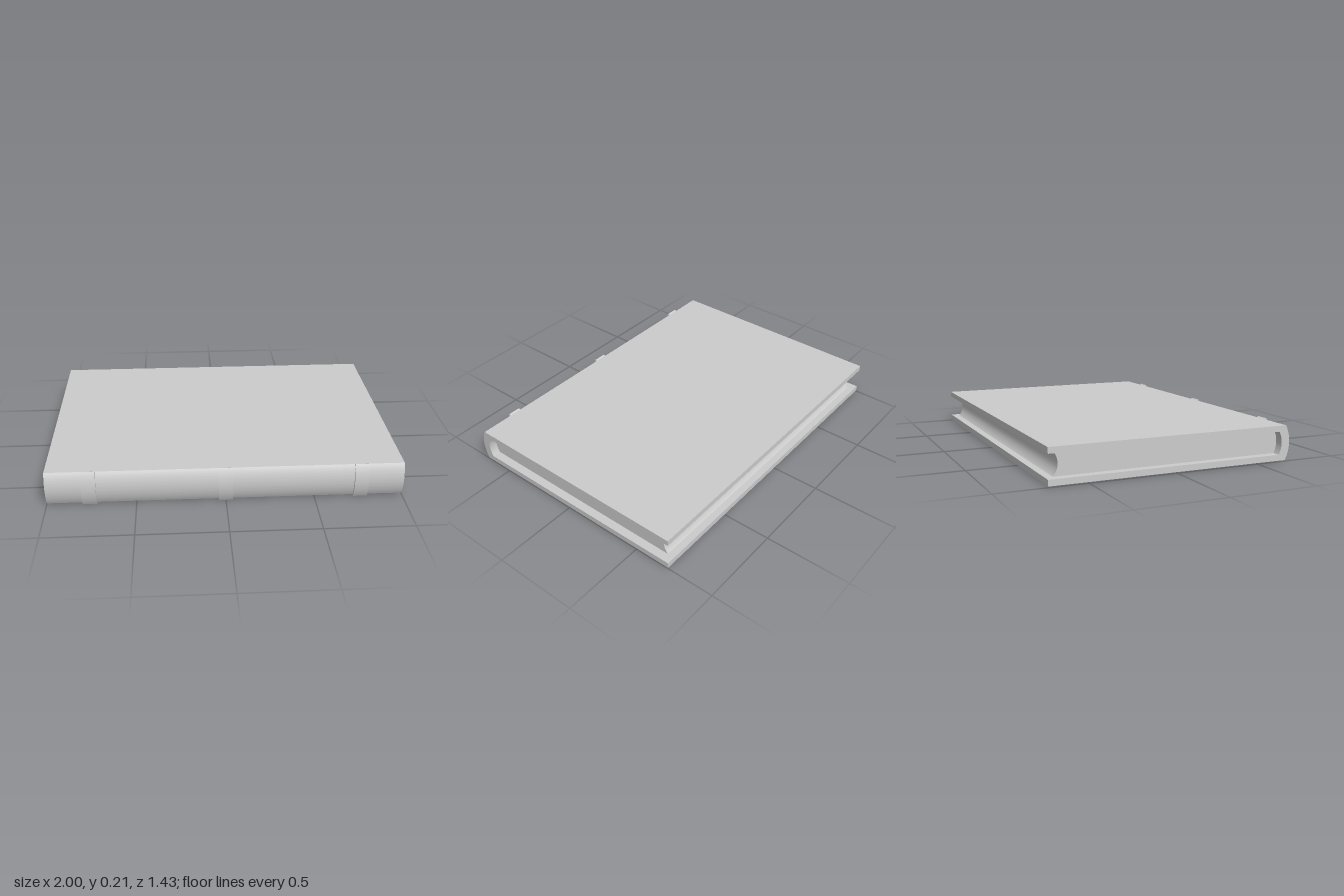
import * as THREE from 'three';
import { toCreasedNormals } from 'three/addons/utils/BufferGeometryUtils.js';

const material = new THREE.MeshStandardMaterial({ color: 0xcccccc });

// Shared dimensions: the spine curves around axes along x
const midY = 0.105, backZ = -0.717;
const outerZ = 0.498, outerR = 0.207, bandR = 0.219, outerHalf = 0.0985;
const innerZ = 0.52, innerR = 0.135, innerHalf = 0.065;
const outerA = Math.asin(outerHalf / outerR);
const innerA = Math.asin(innerHalf / innerR);

// Extrudes a (z, y) cross-section along x, centred on the given x
function extrudeAlongX(name, shape, width, x = 0) {
  const solid = new THREE.ExtrudeGeometry(shape, { depth: width, bevelEnabled: false, curveSegments: 24 });
  solid.translate(0, 0, -width / 2);
  solid.rotateY(-Math.PI / 2);
  const mesh = new THREE.Mesh(toCreasedNormals(solid, Math.PI / 6), material);
  mesh.name = name;
  mesh.position.x = x;
  return mesh;
}

export function createModel() {
  const book = new THREE.Group();
  book.name = 'book';

  // Cover: two boards joined by a rounded spine
  const cover = new THREE.Shape();
  cover.moveTo(backZ, midY - innerHalf);
  cover.lineTo(backZ, midY - outerHalf);
  cover.absarc(outerZ, midY, outerR, -outerA, outerA, false);
  cover.lineTo(backZ, midY + outerHalf);
  cover.lineTo(backZ, midY + innerHalf);
  cover.absarc(innerZ, midY, innerR, innerA, -innerA, true);
  cover.closePath();
  book.add(extrudeAlongX('cover', cover, 2));

  // Page block: round against the spine, hollow at the fore edge
  const foreR = 0.092;
  const foreA = Math.asin(innerHalf / foreR);
  const pages = new THREE.Shape();
  pages.absarc(innerZ, midY, innerR, -innerA, innerA, false);
  pages.absarc(-0.648 - foreR, midY, foreR, foreA, -foreA, true);
  pages.closePath();
  book.add(extrudeAlongX('pages', pages, 1.9));

  // Raised bands across the spine
  const band = new THREE.Shape();
  band.absarc(outerZ, midY, bandR, -outerA, outerA, false);
  band.absarc(outerZ, midY, outerR - 0.002, outerA, -outerA, true);
  band.closePath();
  for (const x of [-0.76, 0, 0.76]) book.add(extrudeAlongX('spineBand', band, 0.08, x));

  return book;
}
